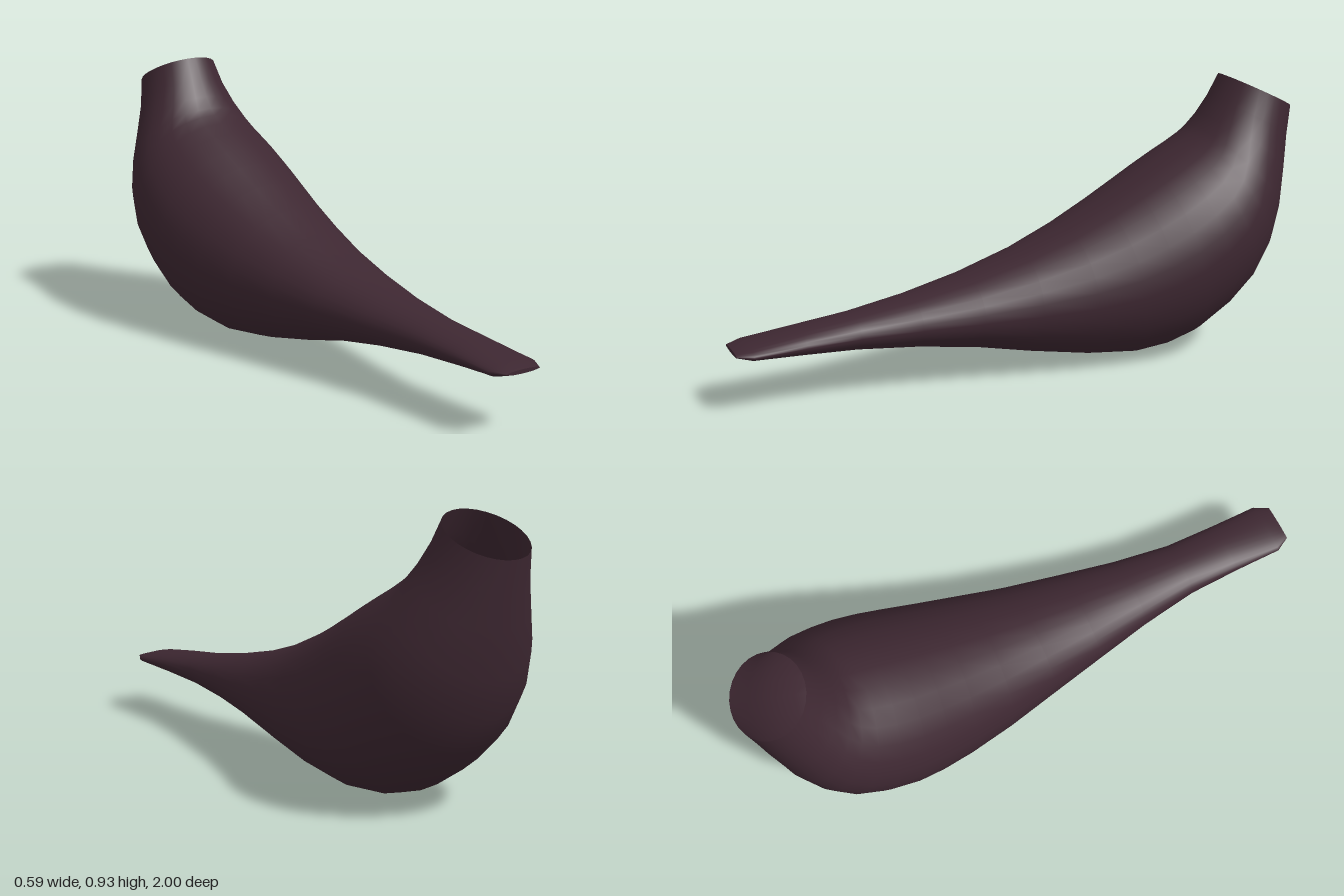
import * as THREE from 'three';

const SEGMENTS = 28;

// Cross-sections from tip to neck: [top z, top y, bottom z, bottom y, half width]
const SECTIONS = [
  [1.0, 0.21, 1.0, 0.197, 0.065],
  [0.95, 0.225, 0.95, 0.18, 0.092],
  [0.78, 0.25, 0.78, 0.167, 0.092],
  [0.6, 0.272, 0.6, 0.155, 0.096],
  [0.4, 0.305, 0.4, 0.135, 0.125],
  [0.2, 0.35, 0.2, 0.105, 0.165],
  [0.01, 0.41, 0.01, 0.062, 0.203],
  [-0.15, 0.478, -0.2, 0.022, 0.243],
  [-0.28, 0.545, -0.38, 0.002, 0.271],
  [-0.38, 0.6, -0.5, 0.014, 0.288],
  [-0.46, 0.645, -0.6, 0.045, 0.297],
  [-0.53, 0.683, -0.72, 0.12, 0.296],
  [-0.59, 0.715, -0.82, 0.21, 0.284],
  [-0.63, 0.74, -0.89, 0.32, 0.262],
  [-0.655, 0.762, -0.937, 0.45, 0.232],
  [-0.685, 0.8, -0.965, 0.6, 0.192],
  [-0.72, 0.86, -0.983, 0.71, 0.157],
  [-0.757, 0.933, -1.0, 0.812, 0.136],
];

// Skins elliptical rings into one smooth, open tube
function loft(sections) {
  const positions = [];
  const index = [];
  sections.forEach(([tz, ty, bz, by, w], s) => {
    for (let j = 0; j < SEGMENTS; j++) {
      const a = (j / SEGMENTS) * Math.PI * 2;
      const t = (1 + Math.sin(a)) / 2;
      positions.push(w * Math.cos(a), by + (ty - by) * t, bz + (tz - bz) * t);
      if (s === sections.length - 1) continue;
      const p = s * SEGMENTS + j;
      const q = s * SEGMENTS + ((j + 1) % SEGMENTS);
      index.push(p, p + SEGMENTS, q, q, p + SEGMENTS, q + SEGMENTS);
    }
  });
  const geometry = new THREE.BufferGeometry();
  geometry.setAttribute('position', new THREE.Float32BufferAttribute(positions, 3));
  geometry.setIndex(index);
  geometry.computeVertexNormals();
  return geometry;
}

export function createModel() {
  const group = new THREE.Group();
  group.name = 'hollowVessel';
  const plum = new THREE.MeshStandardMaterial({ color: 0x3d2731, side: THREE.DoubleSide });
  plum.name = 'darkPlum';

  // Bulbous bowl, tapering stem and open neck in one skin
  const body = new THREE.Mesh(loft(SECTIONS), plum);
  body.name = 'body';
  group.add(body);

  // Flat end closing the narrow tip
  const [, ty, , by, w] = SECTIONS[0];
  const tip = new THREE.Mesh(new THREE.CircleGeometry(1, SEGMENTS), plum);
  tip.geometry.scale(w, (ty - by) / 2, 1);
  tip.position.set(0, (ty + by) / 2, 1);
  tip.name = 'tipEnd';
  group.add(tip);

  return group;
}
